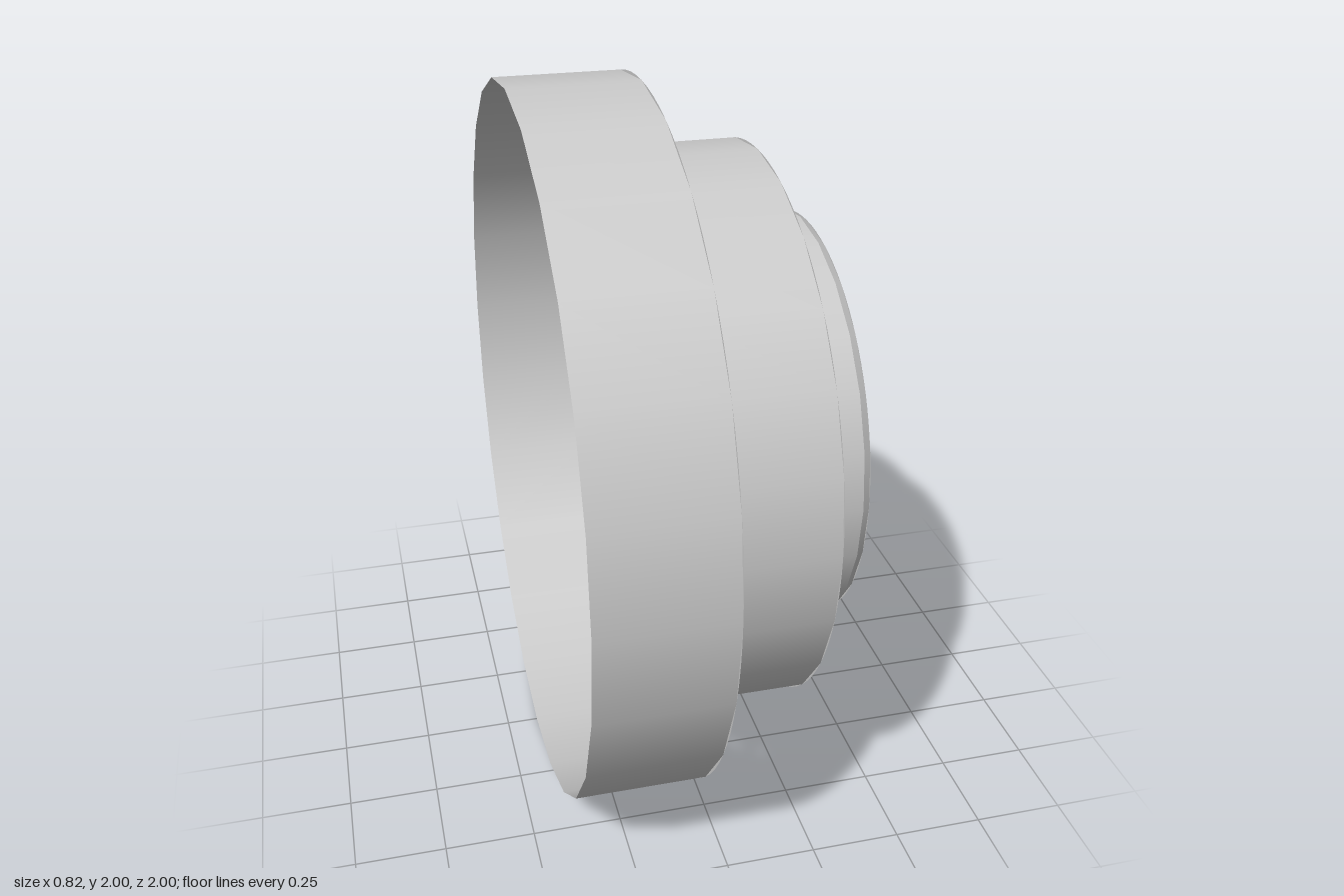
import * as THREE from 'three';

const material = new THREE.MeshStandardMaterial({ color: 0xcccccc, side: THREE.DoubleSide });

// Built along +z, then the whole group is turned so the axis lies on +x.
function createModel() {
  const group = new THREE.Group();
  const hub = new THREE.Group();
  hub.name = 'steppedHub';
  hub.position.y = 1;
  hub.rotation.y = Math.PI / 2;
  group.add(hub);

  const add = (name, geometry) => {
    const mesh = new THREE.Mesh(geometry, material);
    mesh.name = name;
    hub.add(mesh);
  };

  // Open tube from z0 to z1, centred on (x, y)
  const wall = (name, r0, r1, z0, z1, sides = 24, x = 0, y = 0) => {
    const g = new THREE.CylinderGeometry(r1, r0, z1 - z0, sides, 1, true);
    g.rotateX(Math.PI / 2).translate(x, y, (z0 + z1) / 2);
    add(name, g);
  };

  // Flat round face at z with circular holes [x, y, radius]
  const face = (name, radius, z, holes = []) => {
    const shape = new THREE.Shape().absarc(0, 0, radius, 0, Math.PI * 2);
    for (const [x, y, r] of holes) {
      shape.holes.push(new THREE.Path().absarc(x, y, r, 0, Math.PI * 2, true));
    }
    add(name, new THREE.ShapeGeometry(shape, 48).translate(0, 0, z));
  };

  const zBack = -0.41, zStep = -0.056, zDisc = 0.26, zFront = 0.41;

  // Thin stepped shell, open at the back
  wall('outerRim', 1, 1, zBack, zStep);
  face('rimFace', 1, zStep, [[0, 0, 0.797]]);
  wall('middleDrum', 0.797, 0.797, zStep, zDisc);
  face('drumFace', 0.797, zDisc);

  // Raised boss with a narrow chamfer
  wall('boss', 0.595, 0.595, zDisc, 0.39);
  wall('bossChamfer', 0.595, 0.583, 0.39, zFront);

  // Centre bore and six bolt holes
  const bores = [[0, 0, 0.297]];
  for (const degrees of [45, 90, 135, 225, 270, 315]) {
    const a = THREE.MathUtils.degToRad(degrees);
    bores.push([0.475 * Math.cos(a), 0.475 * Math.sin(a), 0.073]);
  }
  face('bossFace', 0.583, zFront, bores);
  bores.forEach(([x, y, r], i) => {
    wall(i ? 'boltHole' : 'centreBore', r, r, zDisc, zFront, 48, x, y);
  });

  return group;
}

export { createModel };
